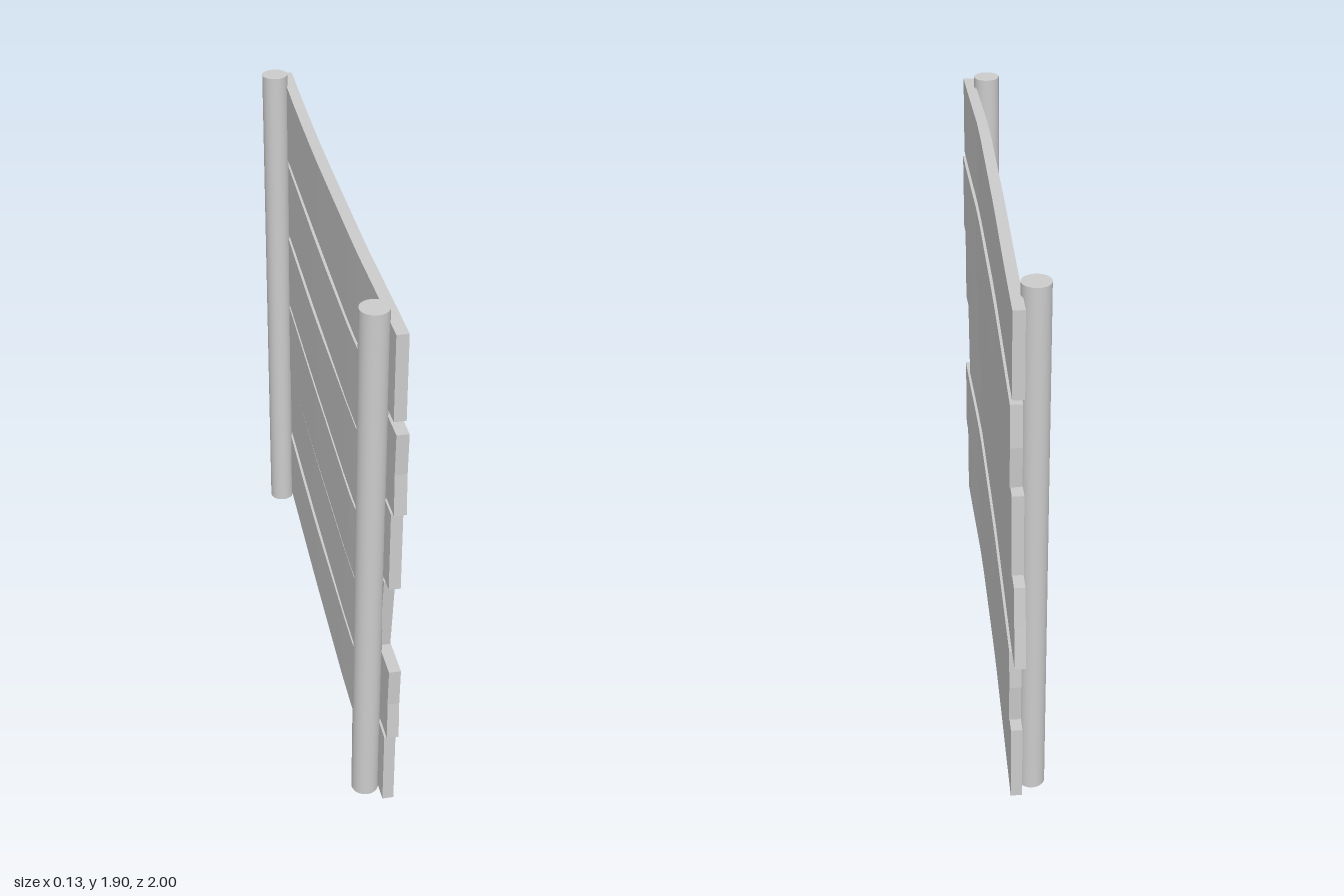
import * as THREE from 'three';

const material = new THREE.MeshStandardMaterial({ color: 0xcccccc, flatShading: true });
const smooth = new THREE.MeshStandardMaterial({ color: 0xcccccc });

// Piecewise-linear lookup in a list of [position, value] pairs.
function sample(points, p) {
  if (p <= points[0][0]) return points[0][1];
  for (let i = 1; i < points.length; i++) {
    const [a, va] = points[i - 1], [b, vb] = points[i];
    if (p <= b) return va + (vb - va) * (p - a) / (b - a);
  }
  return points[points.length - 1][1];
}

// Plank shapes: z ends, x faces, edge waviness along z, and end offset from bottom to top.
const straight = {
  z: [-0.92, 0.975], x: [0.019, 0.057],
  top: [[-0.92, 0], [-0.55, -0.008], [-0.2, -0.004], [0.42, 0.008], [0.975, 0]],
  bottom: [[-0.92, 0], [-0.2, 0.005], [0.42, -0.006], [0.975, 0]],
  backEnd: [0, 0, 0], frontEnd: [0, 0, 0],
};
const bowed = {
  z: [-0.893, 1.0], x: [0.022, 0.061],
  top: [[-0.893, 0], [0.1, -0.008], [0.5, -0.005], [1, 0]],
  bottom: [[-0.893, 0], [-0.15, 0.006], [0.5, -0.006], [1, 0]],
  backEnd: [0.005, -0.007, 0], frontEnd: [0, -0.007, 0],
};
const skewed = {
  z: [-0.982, 0.902], x: [0.018, 0.054],
  top: [[-0.98, 0], [-0.1, 0.004], [0.4, -0.006], [0.9, 0]],
  bottom: [[-0.98, 0], [0.9, 0]],
  backEnd: [-0.018, 0, 0.017], frontEnd: [-0.018, 0, 0.017],
};
const bend = [[-0.9, 0], [-0.2, -0.011], [0.45, -0.014], [0.95, 0]];

// A box bent and trimmed by the rules of its shape.
function plank(shape, y0, y1) {
  const geometry = new THREE.BoxGeometry(1, 1, 1, 1, 2, 12);
  const pos = geometry.attributes.position;
  for (let i = 0; i < pos.count; i++) {
    const u = pos.getX(i) + 0.5, v = pos.getY(i) + 0.5, w = pos.getZ(i) + 0.5;
    const row = Math.round(v * 2);
    const z0 = shape.z[0] + shape.backEnd[row];
    const z1 = shape.z[1] + shape.frontEnd[row];
    const z = z0 + (z1 - z0) * w;
    const low = y0 + sample(shape.bottom, z), high = y1 + sample(shape.top, z);
    const x = shape.x[0] + (shape.x[1] - shape.x[0]) * u + sample(bend, z);
    pos.setXYZ(i, x, low + (high - low) * v, z);
  }
  geometry.computeVertexNormals();
  return new THREE.Mesh(geometry, material);
}

export function createModel() {
  const group = new THREE.Group();
  group.name = 'plankFencePanel';

  // Round posts
  for (const [name, z] of [['frontPost', 0.88], ['backPost', -0.82]]) {
    const post = new THREE.Mesh(new THREE.CylinderGeometry(0.046, 0.046, 1.905, 24), smooth);
    post.name = name;
    post.position.set(-0.022, 0.9525, z);
    group.add(post);
  }

  // Horizontal planks, bottom to top
  [
    [straight, 0.022, 0.312], [bowed, 0.332, 0.624], [skewed, 0.639, 0.932],
    [straight, 0.947, 1.24], [bowed, 1.252, 1.544], [straight, 1.574, 1.866],
  ].forEach(([shape, y0, y1], i) => {
    const mesh = plank(shape, y0, y1);
    mesh.name = `plank${i + 1}`;
    group.add(mesh);
  });
  return group;
}
